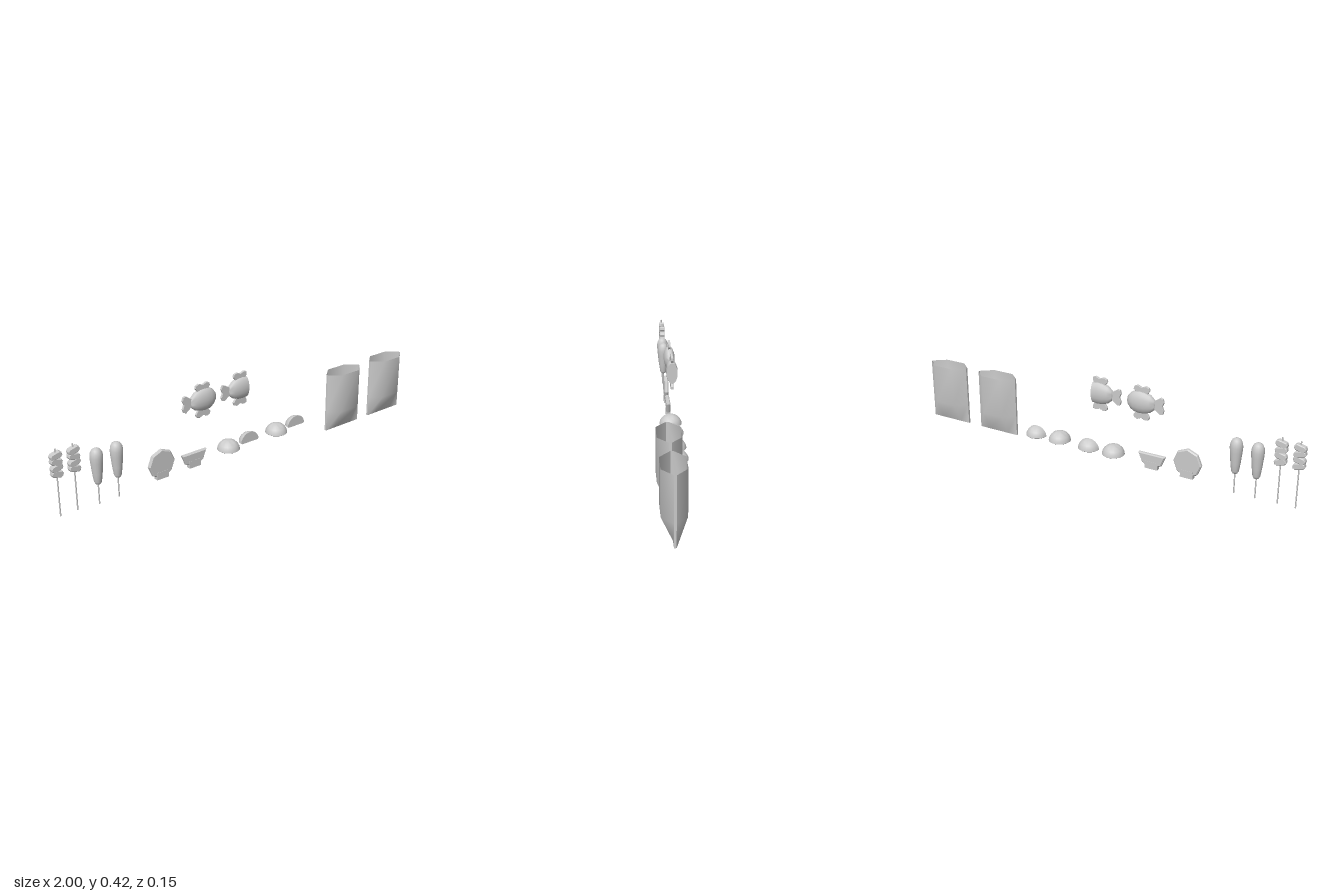
import * as THREE from 'three';
import { toCreasedNormals } from 'three/addons/utils/BufferGeometryUtils.js';

const grey = new THREE.MeshStandardMaterial({ color: 0xcccccc });
const greyDouble = new THREE.MeshStandardMaterial({ color: 0xcccccc, side: THREE.DoubleSide });

const vecs = (pts) => pts.map(([x, y]) => new THREE.Vector2(x, y));

function add(parent, name, geometry, x = 0, y = 0, z = 0, material = grey) {
  const mesh = new THREE.Mesh(geometry, material);
  mesh.name = name;
  mesh.position.set(x, y, z);
  parent.add(mesh);
  return mesh;
}

function group(parent, name, x, y, z) {
  const g = new THREE.Group();
  g.name = name;
  g.position.set(x, y, z);
  parent.add(g);
  return g;
}

// flat slab centred on z = 0, with an optional bevel inside the outline
function slab(pts, thickness, bevel = 0) {
  const geo = new THREE.ExtrudeGeometry(new THREE.Shape(vecs(pts)), {
    depth: thickness - 2 * bevel, bevelEnabled: bevel > 0,
    bevelThickness: bevel, bevelSize: bevel, bevelOffset: -bevel, bevelSegments: 1,
  });
  return geo.translate(0, 0, bevel - thickness / 2);
}

// meat skewer: zigzag chunks on a stick
function skewer(parent, x) {
  const g = group(parent, 'meatSkewer', x, 0, -0.026);
  add(g, 'skewerStick', new THREE.CylinderGeometry(0.003, 0.003, 0.305, 6), 0, 0.173, 0);
  const chunk = slab([[-0.026, -0.006], [-0.018, -0.014], [0.018, -0.014], [0.026, -0.006],
    [0.026, 0.006], [0.018, 0.014], [-0.018, 0.014], [-0.026, 0.006]], 0.025, 0.003);
  for (let i = 0; i < 4; i++) {
    add(g, 'meatChunk', chunk, 0, 0.215 + i * 0.027, 0).rotation.z = i % 2 ? 0.25 : -0.25;
  }
}

// battered sausage on a stick
function cornDog(parent, x) {
  const g = group(parent, 'cornDog', x, 0, -0.022);
  const profile = [[0, 0.108], [0.011, 0.111], [0.017, 0.122], [0.022, 0.16], [0.027, 0.21],
    [0.0285, 0.235], [0.026, 0.253], [0.019, 0.267], [0.01, 0.273], [0, 0.275]];
  add(g, 'batter', new THREE.LatheGeometry(vecs(profile), 16));
  add(g, 'cornDogStick', new THREE.CylinderGeometry(0.003, 0.003, 0.1, 6), 0, 0.066, 0);
}

// eight-sided rice cake with a wrap at its foot; the bitten one keeps its lower half
function riceCake(parent, x, bitten) {
  const g = group(parent, bitten ? 'halfRiceCake' : 'riceCake', x, 0.103, -0.023);
  const pts = [];
  for (let i = 0; i <= (bitten ? 4 : 7); i++) {
    const a = Math.PI + i * Math.PI / 4;
    pts.push([Math.cos(a) * 0.068, Math.sin(a) * 0.068]);
  }
  add(g, 'rice', slab(pts, 0.02, 0.005));
  add(g, 'wrap', new THREE.BoxGeometry(0.062, 0.035, 0.022), 0, -0.053, 0);
}

// fish-shaped cake: rounded body with wavy tail and fins
function fishCake(parent, x, bitten) {
  const g = group(parent, bitten ? 'halfFishCake' : 'fishCake', x, 0.342, -0.025);
  const profile = [[0, -0.07], [0.024, -0.063], [0.042, -0.042], [0.051, -0.015], [0.053, 0.01],
    [0.0495, 0.036]];
  if (bitten) profile.push([0, 0.036]);
  else profile.push([0.038, 0.055], [0.02, 0.069], [0, 0.073]);
  const body = new THREE.LatheGeometry(vecs(profile), 16);
  body.rotateZ(-Math.PI / 2).scale(1, 1, 0.5);
  add(g, 'fishBody', toCreasedNormals(body, 0.9));
  const edge = bitten ? 0.036 : 0.04;
  const fin = slab([[-0.018, 0.03], [0.018, 0.03], [edge, 0.06], [0.036, 0.073], [0.02, 0.078],
    [0, 0.07], [-0.02, 0.078], [-0.036, 0.073], [-0.04, 0.06]], 0.011, 0.001);
  add(g, 'topFin', fin);
  add(g, 'bottomFin', fin.clone().rotateX(Math.PI), 0, -0.004, 0);
  add(g, 'tail', fin.clone().rotateZ(Math.PI / 2), -0.032, 0, 0);
}

// domed bun; the half bun is cut flat across its front
function bun(parent, x, half) {
  const g = group(parent, half ? 'halfBun' : 'bun', x, 0.054, -0.024);
  const rim = [[0, 0], [0.047, 0], [0.053, 0.004], [0.051, 0.016], [0.044, 0.029], [0.032, 0.041],
    [0.017, 0.048], [0, 0.05]];
  const dome = half
    ? new THREE.LatheGeometry(vecs(rim), 12, Math.PI / 2, Math.PI)
    : new THREE.LatheGeometry(vecs(rim), 24);
  add(g, 'bunDome', toCreasedNormals(dome, 0.9));
  if (half) {
    const outline = [...rim.slice(1), ...rim.slice(1, -1).reverse().map(([a, b]) => [-a, b])];
    add(g, 'bunCutFace', new THREE.ShapeGeometry(new THREE.Shape(vecs(outline))), 0, 0, 0, greyDouble);
  }
}

// open paper bag: six-sided sleeve pinched to a flat seam at the bottom
function bag(parent, x) {
  const g = group(parent, 'paperBag', x, 0, 0.025);
  const wall = [[-0.11, 0.005], [-0.055, 0.051], [0.055, 0.051], [0.11, 0.005]];
  const rows = [[0, 0], [0.1, 1], [0.294, 1]];
  const pos = [], index = [];
  for (const [y, open] of rows) {
    for (const [px, pz] of wall) pos.push(px, y, 0.005 + (pz - 0.005) * open);
  }
  for (let r = 0; r < 2; r++) {
    for (let c = 0; c < 3; c++) {
      const a = r * 4 + c;
      index.push(a, a + 1, a + 5, a, a + 5, a + 4);
    }
  }
  const geo = new THREE.BufferGeometry();
  geo.setAttribute('position', new THREE.Float32BufferAttribute(pos, 3));
  geo.setIndex(index);
  geo.computeVertexNormals();
  add(g, 'bagFront', geo, 0, 0, 0, greyDouble);
  add(g, 'bagBack', geo.clone().rotateY(Math.PI), 0, 0, 0, greyDouble);
  for (const s of [-1, 1]) {
    add(g, 'bagSide', new THREE.PlaneGeometry(0.01, 0.294).rotateY(Math.PI / 2), s * 0.11, 0.147, 0, greyDouble);
  }
  add(g, 'bagSeam', new THREE.PlaneGeometry(0.22, 0.01).rotateX(Math.PI / 2), 0, 0, 0, greyDouble);
}

export function createModel() {
  const model = new THREE.Group();
  model.name = 'streetFoodSet';
  for (const x of [-0.973, -0.893]) skewer(model, x);
  for (const x of [-0.791, -0.694]) cornDog(model, x);
  riceCake(model, -0.472, false);
  riceCake(model, -0.296, true);
  fishCake(model, -0.24, false);
  fishCake(model, -0.026, true);
  for (const x of [-0.096, 0.197]) {
    bun(model, x, false);
    bun(model, x + 0.129, true);
  }
  for (const x of [0.59, 0.888]) bag(model, x);
  return model;
}
